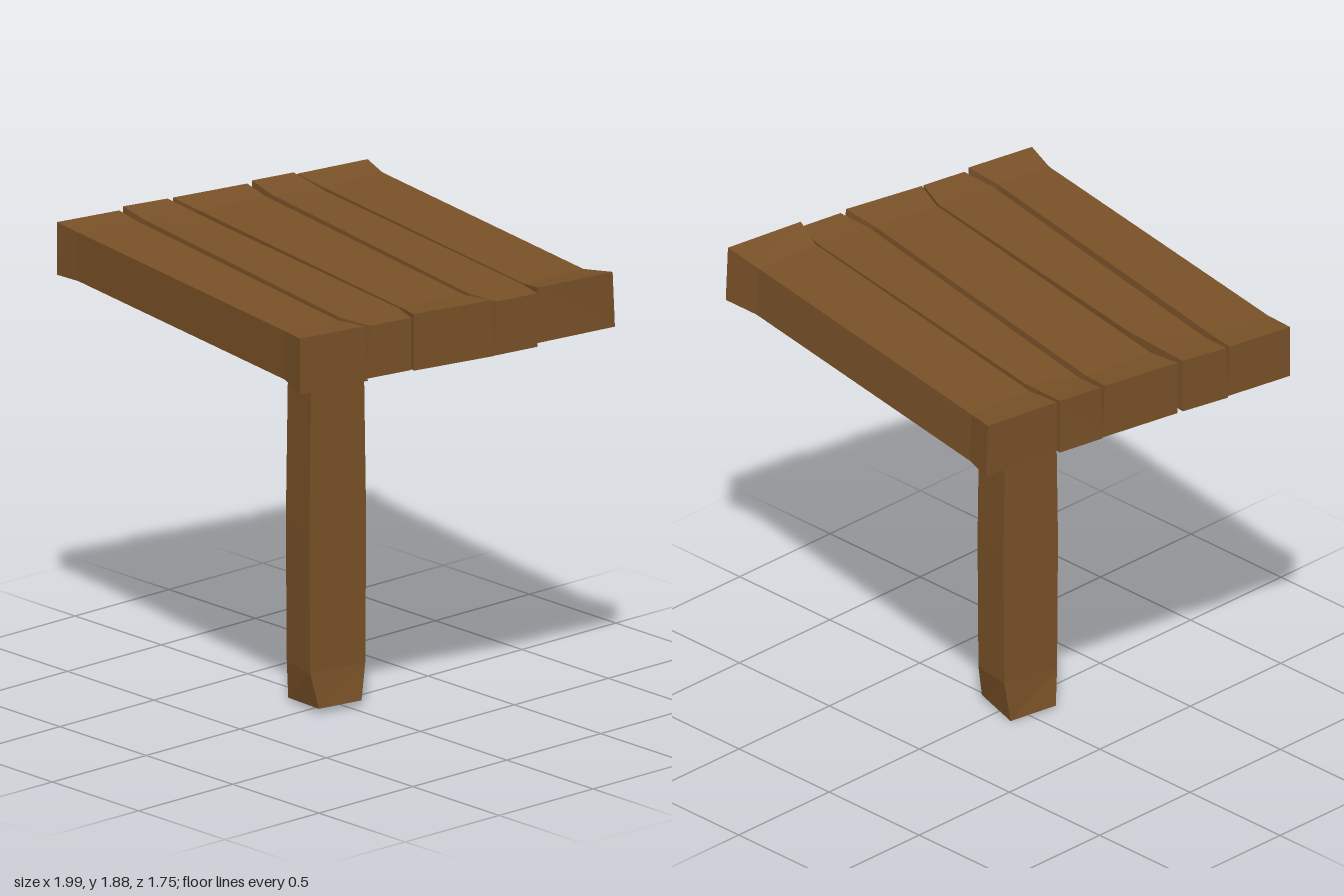
import * as THREE from 'three';

const wood = new THREE.MeshStandardMaterial({ color: 0x7a5228, flatShading: true });

// Skins a row of four-cornered cross-sections and caps both ends.
function loft(name, rings) {
  const pos = [];
  const quad = (a, b, c, d) => pos.push(...a, ...b, ...c, ...a, ...c, ...d);
  for (let i = 0; i < rings.length - 1; i++) {
    for (let j = 0; j < 4; j++) {
      const k = (j + 1) % 4;
      quad(rings[i][j], rings[i][k], rings[i + 1][k], rings[i + 1][j]);
    }
  }
  const [a, b, c, d] = rings[0];
  quad(d, c, b, a);
  quad(...rings[rings.length - 1]);
  const geo = new THREE.BufferGeometry();
  geo.setAttribute('position', new THREE.Float32BufferAttribute(pos, 3));
  geo.computeVertexNormals();
  const mesh = new THREE.Mesh(geo, wood);
  mesh.name = name;
  return mesh;
}

// Each plank: back and front edges as [x, z] from left to right,
// [bottom, top] heights of the two ends, and how far each side leans in at the top.
const planks = [
  { back: [[-0.75, -0.88], [-0.62, -0.84], [0.82, -0.585], [0.99, -0.585]],
    front: [[-0.80, -0.54], [-0.64, -0.53], [0.80, -0.275], [0.94, -0.22]],
    ends: [[1.65, 1.87], [1.655, 1.883]], lean: [0.012, 0] },
  { back: [[-0.81, -0.53], [-0.59, -0.50], [0.80, -0.265], [0.94, -0.22]],
    front: [[-0.845, -0.33], [-0.70, -0.305], [0.75, -0.02], [0.91, -0.02]],
    ends: [[1.645, 1.875], [1.64, 1.86]], lean: [0, 0.01] },
  { back: [[-0.84, -0.325], [-0.71, -0.30], [0.75, -0.02], [0.905, -0.02]],
    front: [[-0.905, 0.025], [-0.75, 0.03], [0.69, 0.285], [0.83, 0.34]],
    ends: [[1.645, 1.87], [1.637, 1.87]], lean: [0.015, 0] },
  { back: [[-0.91, 0.05], [-0.57, 0.09], [0.70, 0.30], [0.84, 0.36]],
    front: [[-0.955, 0.255], [-0.80, 0.28], [0.64, 0.56], [0.805, 0.56]],
    ends: [[1.645, 1.87], [1.647, 1.862]], lean: [0, 0.01] },
  { back: [[-0.945, 0.26], [-0.82, 0.285], [0.65, 0.565], [0.81, 0.565]],
    front: [[-1.0, 0.555], [-0.86, 0.57], [0.61, 0.825], [0.755, 0.875]],
    ends: [[1.645, 1.862], [1.64, 1.868]], lean: [0.015, 0] },
];

function makePlank({ back, front, ends, lean }, i) {
  const heights = [ends[0], [1.655, 1.855], [1.655, 1.855], ends[1]];
  const rings = heights.map(([lo, hi], s) => {
    const [bx, bz] = back[s];
    const [fx, fz] = front[s];
    return [[bx, lo, bz], [bx, hi, bz + lean[0]], [fx, hi, fz - lean[1]], [fx, lo, fz]];
  });
  return loft(`plank${i + 1}`, rings);
}

// Square post, turned with the planks, slightly swollen in the middle.
function makePost() {
  const foot = [[-0.14, 0.012, 0.115], [0.07, 0.022, 0.145], [0.11, 0.025, -0.045], [-0.09, 0, -0.085]];
  const levels = [[0.17, 0.015], [0.75, 0.02], [1.4, 0.008], [1.68, -0.004]];
  const rings = levels.map(([y, swell]) => [
    [-0.127, y, 0.12 + swell], [0.05, y, 0.158 + swell],
    [0.097, y, -0.062 - swell], [-0.08, y, -0.095 - swell],
  ]);
  return loft('post', [foot, ...rings]);
}

export function createModel() {
  const model = new THREE.Group();
  model.name = 'plankTable';
  const top = new THREE.Group();
  top.name = 'tableTop';
  planks.forEach((p, i) => top.add(makePlank(p, i)));
  model.add(top, makePost());
  return model;
}
